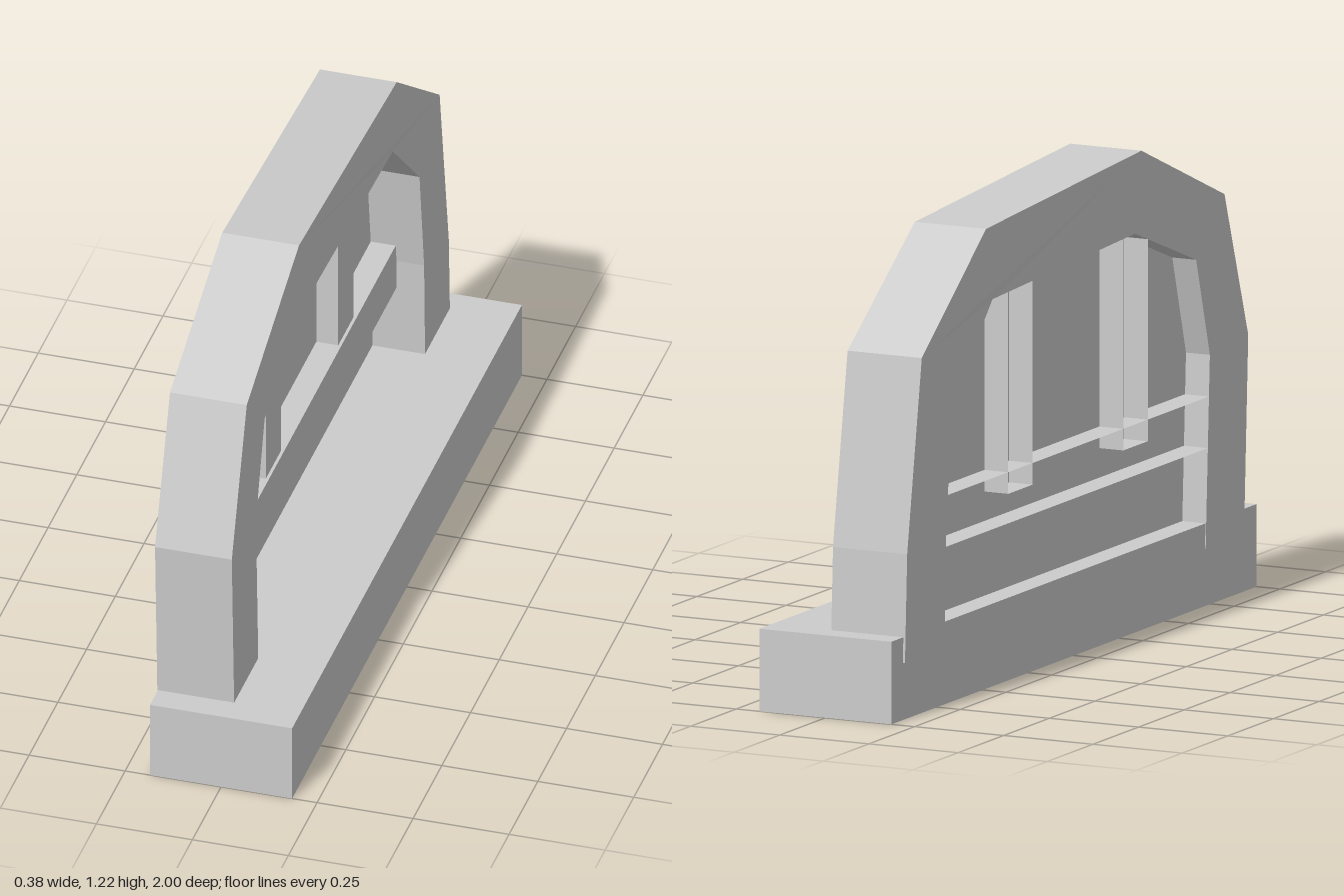
import * as THREE from 'three';

const material = new THREE.MeshStandardMaterial({ color: 0xcccccc, flatShading: true });
const thin = new THREE.MeshStandardMaterial({ color: 0xcccccc, flatShading: true, side: THREE.DoubleSide });

// Outlines as [z, y], from the front leg over the top to the rear leg
const OUTER = [[0.925, 0.145], [0.93, 0.21], [0.95, 0.65], [0.82, 1.03], [0.365, 1.22],
  [-0.485, 1.17], [-0.845, 0.905], [-0.925, 0.42], [-0.937, 0.145]];
const INNER = [[0.717, 0.145], [0.72, 0.21], [0.74, 0.635], [0.665, 0.89], [0.33, 1.015],
  [-0.45, 0.985], [-0.67, 0.77], [-0.71, 0.48], [-0.72, 0.145]];
const BACK = -0.187;
const PANEL_X = -0.12;

// After the quarter turn, shape x becomes -z and depth becomes x
const outline = (points) => new THREE.Shape(points.map(([z, y]) => new THREE.Vector2(-z, y)));

function add(group, name, geometry, mat = material) {
  const mesh = new THREE.Mesh(geometry, mat);
  mesh.name = name;
  group.add(mesh);
  return mesh;
}

// Box between two corners, optionally without its -x face
function box(x0, x1, y0, y1, z0, z1, openBack = false) {
  const g = new THREE.BoxGeometry(x1 - x0, y1 - y0, z1 - z0);
  g.translate((x0 + x1) / 2, (y0 + y1) / 2, (z0 + z1) / 2);
  if (openBack) {
    g.setIndex(Array.from(g.index.array).filter((_, i) => i < 6 || i > 11));
    g.clearGroups();
  }
  return g;
}

export function createModel() {
  const model = new THREE.Group();
  model.name = 'archedWindow';

  // Plinth
  add(model, 'base', box(-0.185, 0.185, 0, 0.21, -1, 1));

  // Faceted arch frame, its rear leg a touch thicker
  const arch = new THREE.ExtrudeGeometry(outline([...OUTER, ...[...INNER].reverse()]),
    { depth: 0.2, bevelEnabled: false });
  arch.rotateY(Math.PI / 2).translate(BACK, 0, 0);
  const p = arch.attributes.position;
  for (let i = 0; i < p.count; i++) {
    if (p.getZ(i) < -0.6) p.setX(i, -0.087 + (p.getX(i) + 0.087) * 1.04);
  }
  arch.computeVertexNormals();
  add(model, 'archFrame', arch);

  // Thin sheet filling the opening
  const panel = new THREE.ShapeGeometry(outline(INNER));
  panel.rotateY(Math.PI / 2).translate(PANEL_X, 0, 0);
  add(model, 'panel', panel, thin);

  // Cross rail and uprights, open at the back
  add(model, 'crossRail', box(BACK, -0.055, 0.4, 0.53, -0.73, 0.83, true), thin);
  for (const z of [0.333, -0.297]) {
    add(model, 'upright', box(BACK, -0.063, 0.475, 1.03, z - 0.067, z + 0.067, true), thin);
  }
  return model;
}
